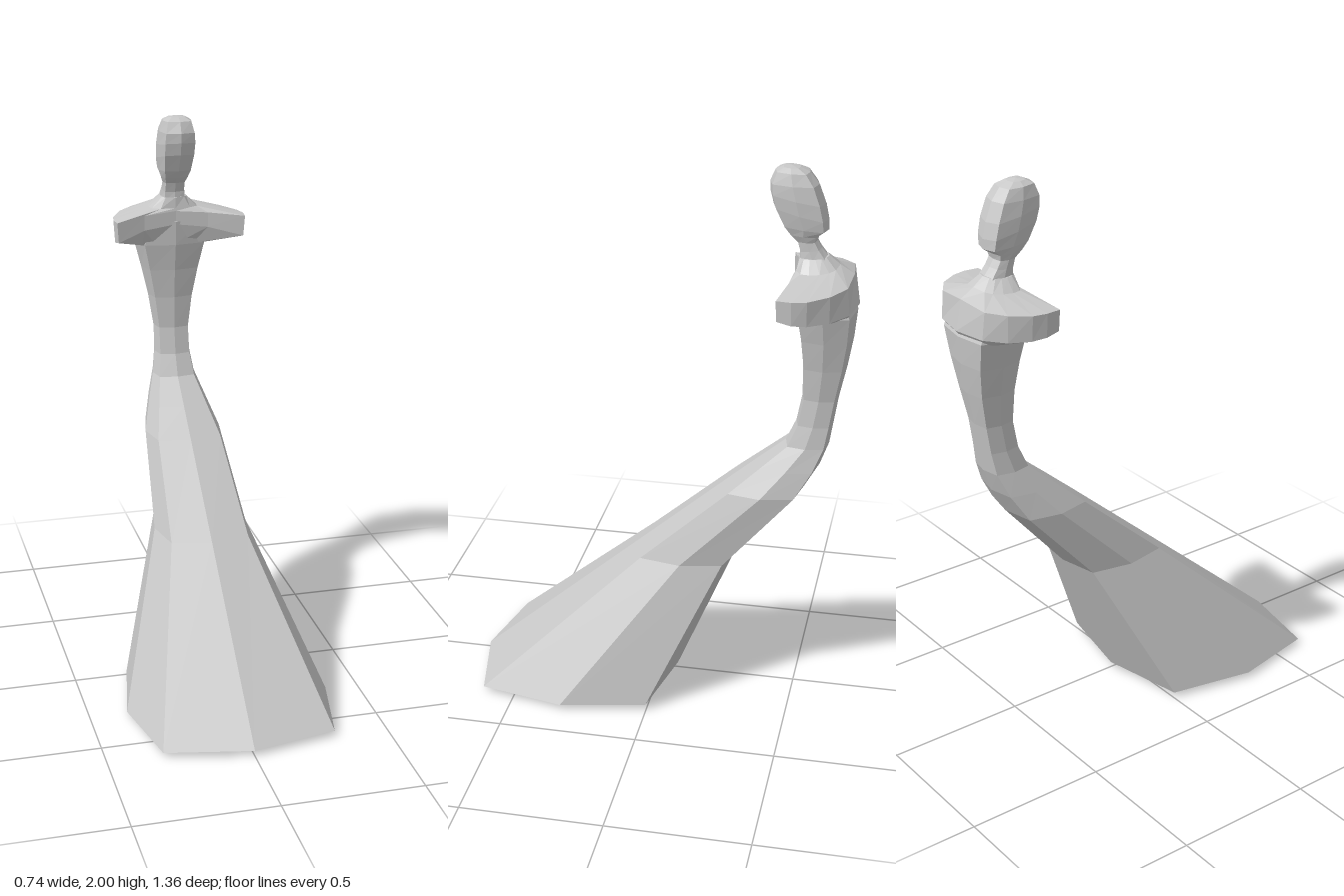
import * as THREE from 'three';

// Skin a stack of closed rings, each listed counterclockwise from above, with caps at both ends
function loft(rings, topCentre, bottomCentre) {
  const pos = [], n = rings[0].length;
  const tri = (a, b, c) => pos.push(...a, ...b, ...c);
  for (let i = 0; i + 1 < rings.length; i++) {
    for (let j = 0; j < n; j++) {
      const k = (j + 1) % n, lo = rings[i], hi = rings[i + 1];
      tri(lo[j], lo[k], hi[k]);
      tri(lo[j], hi[k], hi[j]);
    }
  }
  const top = rings[rings.length - 1], bottom = rings[0];
  for (let j = 0; j < n; j++) {
    const k = (j + 1) % n;
    tri(topCentre, top[j], top[k]);
    tri(bottomCentre, bottom[k], bottom[j]);
  }
  const g = new THREE.BufferGeometry();
  g.setAttribute('position', new THREE.Float32BufferAttribute(pos, 3));
  g.computeVertexNormals();
  return g;
}

// Squarish eight-sided ring, which may tilt between its front and back heights
const C = 0.83;
const OCT = [[0, 1], [C, C], [1, 0], [C, -C], [0, -1], [-C, -C], [-1, 0], [-C, C]];
function octRing([halfWidth, frontZ, frontY, backZ, backY = frontY]) {
  return OCT.map(([u, v]) => [
    u * halfWidth,
    (frontY + backY) / 2 + v * (frontY - backY) / 2,
    (frontZ + backZ) / 2 + v * (frontZ - backZ) / 2,
  ]);
}

// Mirror a half outline (front centre to back centre); the right shoulder is a little shorter
function mirrorRing(half) {
  const other = half.slice(1, -1).reverse()
    .map(([x, y, z]) => [-(x - Math.max(0, x - 0.13) * 0.23), y, z]);
  return [...half, ...other];
}

export function createModel() {
  const group = new THREE.Group();
  const grey = new THREE.MeshStandardMaterial({ color: 0xc8c8c8, flatShading: true });
  grey.name = 'light grey';
  const add = (name, geometry) => {
    const mesh = new THREE.Mesh(geometry, grey);
    mesh.name = name;
    group.add(mesh);
  };

  // Gown: trailing skirt sweeping back into the waist and bodice
  const gown = [
    [0.37, 0.68, 0.02, -0.06],
    [0.173, 0.085, 0.54, -0.275],
    [0.143, -0.235, 0.82, -0.515],
    [0.11, -0.345, 0.915, -0.568],
    [0.08, -0.445, 1.0, -0.598],
    [0.068, -0.48, 1.08, -0.61],
    [0.067, -0.498, 1.18, -0.625],
    [0.085, -0.495, 1.3, -0.65],
    [0.11, -0.482, 1.41, -0.668],
    [0.136, -0.465, 1.51, -0.677],
    [0.125, -0.458, 1.6, -0.64],
  ].map(octRing);
  add('gown', loft(gown, [0, 1.6, -0.55], [0, 0, 0.31]));

  // Shoulders: forward-swept crescent from underside to neck base
  const shoulders = [
    [[0, 1.51, -0.48], [0.07, 1.51, -0.485], [0.12, 1.51, -0.49], [0.13, 1.505, -0.53],
      [0.13, 1.5, -0.57], [0.12, 1.5, -0.61], [0.1, 1.5, -0.64], [0, 1.5, -0.66]],
    [[0, 1.59, -0.462], [0.12, 1.575, -0.453], [0.25, 1.54, -0.43], [0.255, 1.53, -0.48],
      [0.24, 1.525, -0.53], [0.195, 1.525, -0.6], [0.122, 1.53, -0.66], [0, 1.53, -0.682]],
    [[0, 1.64, -0.462], [0.12, 1.63, -0.453], [0.256, 1.615, -0.428], [0.262, 1.615, -0.48],
      [0.25, 1.615, -0.53], [0.2, 1.62, -0.6], [0.125, 1.625, -0.65], [0, 1.635, -0.66]],
    [[0, 1.65, -0.464], [0.055, 1.65, -0.468], [0.085, 1.65, -0.485], [0.09, 1.65, -0.515],
      [0.085, 1.652, -0.55], [0.07, 1.655, -0.58], [0.05, 1.66, -0.6], [0, 1.665, -0.61]],
    [[0, 1.69, -0.468], [0.035, 1.69, -0.475], [0.046, 1.69, -0.49], [0.048, 1.69, -0.51],
      [0.046, 1.69, -0.53], [0.04, 1.692, -0.55], [0.028, 1.694, -0.565], [0, 1.695, -0.572]],
  ].map(mirrorRing);
  add('shoulders', loft(shoulders, [0, 1.69, -0.52], [0, 1.5, -0.57]));

  // Neck and head: slender neck under an egg-shaped head tipped forward
  const head = [
    [0.047, -0.47, 1.675, -0.57, 1.69],
    [0.043, -0.472, 1.71, -0.545, 1.72],
    [0.042, -0.462, 1.745, -0.53, 1.745],
    [0.05, -0.436, 1.77, -0.536, 1.765],
    [0.058, -0.41, 1.8, -0.567, 1.785],
    [0.065, -0.378, 1.865, -0.567, 1.82],
    [0.067, -0.366, 1.91, -0.555, 1.875],
    [0.063, -0.365, 1.945, -0.53, 1.94],
    [0.052, -0.382, 1.985, -0.498, 1.98],
    [0.03, -0.408, 1.997, -0.465, 1.995],
  ].map(octRing);
  add('neckAndHead', loft(head, [0, 2, -0.435], [0, 1.68, -0.52]));

  return group;
}
